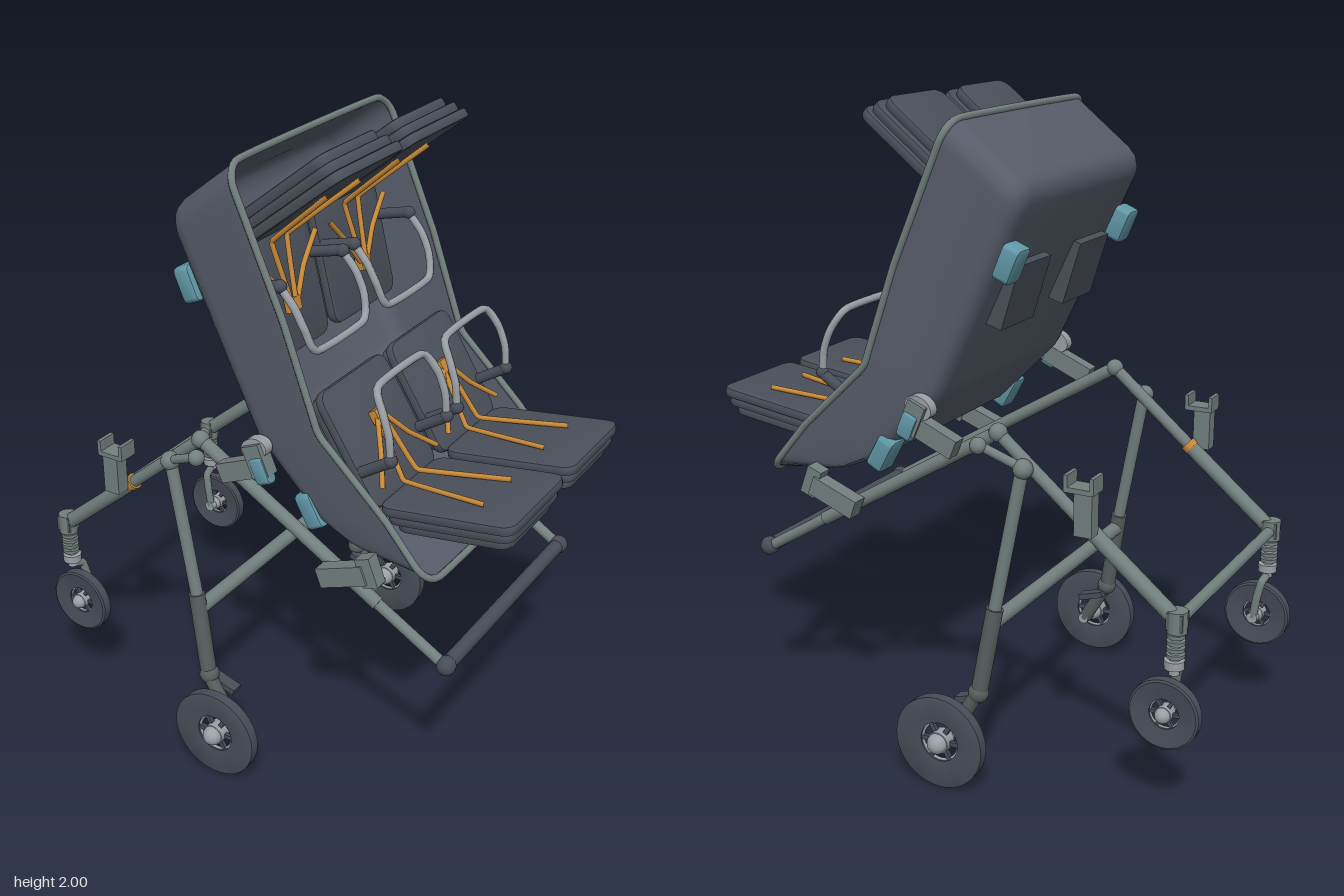
import * as THREE from 'three';
import { toCreasedNormals } from 'three/addons/utils/BufferGeometryUtils.js';

const mat = (name, color, side = THREE.FrontSide) => {
  const m = new THREE.MeshStandardMaterial({ color, side });
  m.name = name;
  return m;
};
const V = (x, y, z = 0) => new THREE.Vector3(x, y, z);

export function createModel() {
  const shell = mat('slate shell', 0x565d6a, THREE.DoubleSide);
  const fabric = mat('dark cushion', 0x4a505a);
  const frame = mat('grey green frame', 0x71807e);
  const darkFrame = mat('dark frame', 0x56605f);
  const metal = mat('light metal', 0x9aa0a6);
  const rubber = mat('rubber', 0x474d58);
  const orange = mat('orange strap', 0xc98a38);
  const teal = mat('teal lamp', 0x6299a8);
  const root = new THREE.Group();
  root.name = 'quadStroller';

  const add = (parent, name, geo, m, pos = V(0, 0, 0), rotZ = 0) => {
    const mesh = new THREE.Mesh(geo, m);
    mesh.name = name;
    mesh.position.copy(pos);
    mesh.rotation.z = rotZ;
    parent.add(mesh);
    return mesh;
  };
  // round bar between two points
  const bar = (parent, name, a, b, r, m, r2 = r) => {
    const d = b.clone().sub(a);
    const mesh = add(parent, name, new THREE.CylinderGeometry(r2, r, d.length(), 16), m, a.clone().add(b).multiplyScalar(0.5));
    mesh.quaternion.setFromUnitVectors(V(0, 1, 0), d.normalize());
    return mesh;
  };
  const box = (parent, name, w, h, d, m, pos, rot = 0) => add(parent, name, new THREE.BoxGeometry(w, h, d), m, pos, rot);
  const ball = (parent, name, r, m, pos) => add(parent, name, new THREE.SphereGeometry(r, 16, 12), m, pos);

  // ---- Tub: rings lofted from the open rim to the floor ----
  const knots = [0, 0.347, 0.599, 0.832, 1];
  const rimPts = [[-0.05, 1.955], [0.13, 1.54], [0.24, 1.23], [0.46, 1.02], [0.6, 0.852]];
  const floorPts = [[-0.29, 1.79], [-0.10, 1.38], [0.01, 1.15], [0.21, 0.945], [0.38, 0.875]];
  const along = (pts, s) => {
    let i = 0;
    while (i < 3 && s > knots[i + 1]) i++;
    const t = (s - knots[i]) / (knots[i + 1] - knots[i]);
    return V(pts[i][0] + (pts[i + 1][0] - pts[i][0]) * t, pts[i][1] + (pts[i + 1][1] - pts[i][1]) * t);
  };
  // one half of a rounded rectangle in (s, z), from the top end to the bottom end
  const half = (inset, r) => {
    const out = [], w = 0.43 - inset, rs = r / 1.3, s0 = inset / 1.3, s1 = 1 - s0;
    for (let k = 0; k <= 6; k++) {
      const a = (k / 6) * Math.PI / 2;
      out.push([s0 + rs * (1 - Math.cos(a)), w - r + r * Math.sin(a)]);
    }
    for (let k = 1; k < 40; k++) out.push([s0 + rs + (s1 - s0 - 2 * rs) * k / 40, w]);
    for (let k = 0; k <= 6; k++) {
      const a = (k / 6) * Math.PI / 2;
      out.push([s1 - rs * (1 - Math.sin(a)), w - r + r * Math.cos(a)]);
    }
    return out;
  };
  const ring = (depth, inset, r) => {
    const h = half(inset, r);
    const loop = [...h, ...h.map(([s, z]) => [s, -z]).reverse()];
    return loop.map(([s, z]) => {
      const p = along(rimPts, s).lerp(along(floorPts, s), depth);
      p.z = z;
      return p;
    });
  };
  const rings = [ring(0, 0, 0.07), ring(0.8, 0.012, 0.07), ring(0.9, 0.018, 0.07), ring(0.97, 0.035, 0.06), ring(1, 0.065, 0.05)];
  const n = rings[0].length, idx = [];
  for (let k = 0; k < rings.length - 1; k++)
    for (let i = 0; i < n; i++) {
      const a = k * n + i, b = k * n + (i + 1) % n;
      idx.push(a, b, a + n, b, b + n, a + n);
    }
  const base = (rings.length - 1) * n;
  for (let i = 0; i < n / 2 - 1; i++) {
    const a = base + i, b = a + 1, c = base + n - 1 - i, d = c - 1;
    idx.push(a, b, c, b, d, c);
  }
  const tub = new THREE.BufferGeometry().setFromPoints(rings.flat());
  tub.setIndex(idx);
  add(root, 'tub', toCreasedNormals(tub, 0.6), shell);
  const rimCurve = new THREE.CatmullRomCurve3(rings[0], true);
  add(root, 'tubRim', new THREE.TubeGeometry(rimCurve, 220, 0.011, 8, true), frame);

  // ---- Seats: local x points out of the tub, local y along it ----
  const slab = (L, W, t, r) => {
    const s = new THREE.Shape(), w = W / 2;
    s.moveTo(r, -w).lineTo(L - r, -w).quadraticCurveTo(L, -w, L, -w + r);
    s.lineTo(L, w - r).quadraticCurveTo(L, w, L - r, w);
    s.lineTo(r, w).quadraticCurveTo(0, w, 0, w - r);
    s.lineTo(0, -w + r).quadraticCurveTo(0, -w, r, -w);
    const b = 0.008;
    const g = new THREE.ExtrudeGeometry(s, { depth: t - 2 * b, bevelThickness: b, bevelSize: b, bevelOffset: -b, bevelSegments: 2, curveSegments: 6 });
    return toCreasedNormals(g.translate(0, 0, b), 0.7);
  };
  const cushion = (parent, name, a, b) => {
    const dir = b.clone().sub(a), L = dir.length(), z = V(0, 0, 1);
    dir.normalize();
    const normal = dir.clone().cross(z);
    [0, 0.012, 0.03].forEach((inset, k) => {
      const g = slab(L - 2 * inset, 0.36 - 2 * inset, 0.031, 0.045);
      g.applyMatrix4(new THREE.Matrix4().makeBasis(dir, z, normal));
      add(parent, name + 'Layer', g, fabric, a.clone().addScaledVector(dir, inset).addScaledVector(normal, k * 0.03));
    });
  };
  const tube = (parent, name, pts, r, m, tension = 0.15) =>
    add(parent, name, new THREE.TubeGeometry(new THREE.CatmullRomCurve3(pts, false, 'catmullrom', tension), 40, r, 8), m);

  const seat = (name, x, y, z, flip) => {
    const g = new THREE.Group();
    g.name = name;
    g.position.set(x, y, z);
    g.rotation.z = 0.401;
    g.scale.y = flip;
    root.add(g);
    cushion(g, 'backrest', V(0.02, -0.21), V(0.425, -0.32));
    cushion(g, 'seatPad', V(-0.04, 0.14), V(0.02, -0.225));
    box(g, 'seatSupport', 0.09, 0.2, 0.2, fabric, V(-0.14, -0.03), 0.1);
    // harness
    box(g, 'buckle', 0.025, 0.04, 0.05, orange, V(0.0, 0, 0), 0.16);
    for (const s of [-1, 1]) {
      tube(g, 'shoulderStrap', [V(0.005, 0, s * 0.01), V(0.035, -0.195, s * 0.04), V(0.304, -0.28, s * 0.085)], 0.008, orange, 0.05);
      tube(g, 'hipStrap', [V(0.005, 0, s * 0.015), V(0.022, -0.09, s * 0.08), V(0.045, -0.17, s * 0.16)], 0.008, orange);
      bar(g, 'bumperGrip', V(0, -0.108, s * 0.165), V(0.109, -0.09, s * 0.165), 0.017, rubber);
      ball(g, 'bumperPivot', 0.02, rubber, V(0.109, -0.088, s * 0.165));
    }
    const side = [[0.109, -0.085, 0.165], [0.13, -0.02, 0.165], [0.134, 0.05, 0.16], [0.124, 0.12, 0.125]];
    tube(g, 'bumperBar', [...side.map((p) => V(...p)), ...side.reverse().map(([a, b, c]) => V(a, b, -c))], 0.012, metal, 0.3);
  };
  for (const z of [-0.198, 0.198]) {
    seat('lowerSeat', 0.3, 1.21, z, 1);
    seat('upperSeat', 0.01, 1.49, z, -1);
  }

  // ---- Wheels ----
  const wheel = (name, r, width, pos) => {
    const g = new THREE.Group();
    g.name = name;
    g.position.copy(pos);
    root.add(g);
    const w = width / 2, ri = r * 0.43;
    const prof = [[ri, -w * 0.5], [r * 0.94, -w], [r, -w * 0.8], [r, w * 0.8], [r * 0.94, w], [ri, w * 0.5], [ri, -w * 0.5]];
    const tyre = new THREE.LatheGeometry(prof.map(([a, b]) => new THREE.Vector2(a, b)), 40).rotateX(Math.PI / 2);
    add(g, 'tyre', toCreasedNormals(tyre, 0.6), rubber);
    add(g, 'hubRing', new THREE.TorusGeometry(r * 0.42, r * 0.035, 8, 32), metal);
    for (let k = 0; k < 3; k++) box(g, 'spokes', r * 0.84, r * 0.1, width * 0.3, rubber, V(0, 0, 0), k * Math.PI / 3);
    add(g, 'hub', new THREE.CylinderGeometry(r * 0.24, r * 0.24, width, 20).rotateX(Math.PI / 2), metal);
    ball(g, 'hubCap', r * 0.22, metal, V(0, 0, w));
    ball(g, 'hubCap', r * 0.22, metal, V(0, 0, -w));
  };

  // ---- Frame, one side at a time ----
  for (const s of [1, -1]) {
    const P = (x, y, z) => V(x, y, z * s);
    // long handle bar and its lower tube
    bar(root, 'handleTube', P(-0.19, 1.085, 0.4), P(0.42, 0.715, 0.395), 0.021, frame);
    bar(root, 'handleEnd', P(0.42, 0.715, 0.395), P(0.64, 0.58, 0.39), 0.017, frame);
    ball(root, 'handleCorner', 0.03, rubber, P(0.645, 0.58, 0.39));
    // front tube
    ball(root, 'elbow', 0.028, frame, P(-0.19, 1.085, 0.4));
    bar(root, 'frontTubeUpper', P(-0.19, 1.085, 0.4), P(-0.46, 0.86, 0.397), 0.019, frame);
    bar(root, 'frontTubeLower', P(-0.46, 0.86, 0.397), P(-0.74, 0.63, 0.395), 0.024, frame);
    bar(root, 'tubeClip', P(-0.455, 0.865, 0.397), P(-0.47, 0.852, 0.397), 0.026, orange);
    // rear leg
    ball(root, 'legPivot', 0.03, frame, P(-0.285, 1.0, 0.43));
    bar(root, 'rearLegUpper', P(-0.285, 1.01, 0.43), P(-0.2, 0.56, 0.44), 0.02, frame);
    bar(root, 'rearLegLower', P(-0.2, 0.56, 0.44), P(-0.155, 0.29, 0.455), 0.026, darkFrame);
    bar(root, 'legBrace', P(-0.29, 1.0, 0.43), P(-0.16, 1.06, 0.46), 0.014, frame);
    ball(root, 'legBraceKnob', 0.025, frame, P(-0.16, 1.06, 0.465));
    // rear axle and brake
    ball(root, 'legFoot', 0.032, darkFrame, P(-0.152, 0.285, 0.455));
    bar(root, 'swingArm', P(-0.152, 0.285, 0.46), P(-0.07, 0.145, 0.46), 0.022, darkFrame);
    bar(root, 'rearAxle', P(-0.07, 0.145, 0.44), P(-0.07, 0.145, 0.54), 0.018, metal);
    box(root, 'brakeLever', 0.09, 0.02, 0.04, rubber, P(-0.11, 0.25, 0.43), -0.3);
    wheel('rearWheel', 0.145, 0.04, P(-0.07, 0.145, 0.54));
    // front caster with spring
    bar(root, 'casterHead', P(-0.75, 0.655, 0.395), P(-0.75, 0.59, 0.395), 0.03, frame);
    box(root, 'casterCap', 0.05, 0.05, 0.05, darkFrame, P(-0.75, 0.625, 0.395));
    bar(root, 'casterPost', P(-0.748, 0.6, 0.395), P(-0.745, 0.46, 0.395), 0.016, metal);
    for (let k = 0; k < 4; k++) {
      const y = 0.585 - k * 0.02;
      bar(root, 'springCoil', P(-0.748, y, 0.395), P(-0.748, y - 0.011, 0.395), 0.027, frame);
    }
    bar(root, 'casterCollar', P(-0.745, 0.505, 0.395), P(-0.745, 0.48, 0.395), 0.03, metal);
    tube(root, 'casterFork', [P(-0.745, 0.465, 0.395), P(-0.74, 0.45, 0.355), P(-0.73, 0.4, 0.347), P(-0.72, 0.33, 0.347)], 0.014, frame);
    bar(root, 'casterAxle', P(-0.72, 0.33, 0.335), P(-0.72, 0.33, 0.39), 0.018, metal);
    wheel('frontWheel', 0.107, 0.036, P(-0.72, 0.33, 0.39));
    // upright cup bracket on the front tube
    box(root, 'cupStem', 0.055, 0.13, 0.045, frame, P(-0.49, 0.91, 0.445));
    box(root, 'cupBase', 0.09, 0.015, 0.065, frame, P(-0.48, 0.98, 0.445));
    for (const e of [-1, 1]) box(root, 'cupWall', 0.012, 0.045, 0.065, frame, P(-0.48 + e * 0.04, 1.0, 0.445));
    // tub mounts
    box(root, 'upperMount', 0.17, 0.06, 0.045, frame, P(0.0, 1.065, 0.445), 0.4);
    box(root, 'upperMountPost', 0.06, 0.1, 0.045, frame, P(0.055, 1.11, 0.452), 0.4);
    const lug = add(root, 'mountLug', new THREE.CylinderGeometry(0.045, 0.045, 0.035, 24).rotateX(Math.PI / 2), metal, P(0.04, 1.14, 0.442), 0.4);
    lug.scale.y = 0.75;
    box(root, 'lowerMount', 0.16, 0.06, 0.05, frame, P(0.34, 0.82, 0.45), 0.36);
    box(root, 'lowerMountPost', 0.05, 0.09, 0.045, frame, P(0.42, 0.855, 0.445), 0.36);
    // teal lamps and catches
    const lamp = (name, pos, w, h, d, rot) => {
      const g = slab(h, d, w, 0.02).translate(-h / 2, 0, -w / 2);
      g.applyMatrix4(new THREE.Matrix4().makeBasis(V(0, 1, 0), V(0, 0, 1), V(1, 0, 0)));
      add(root, name, g, teal, pos, rot);
    };
    lamp('sideCatch', P(0.07, 1.085, 0.46), 0.05, 0.09, 0.04, 0.4);
    lamp('upperLamp', P(-0.215, 1.57, 0.37), 0.055, 0.11, 0.08, 0.4);
    lamp('lowerLamp', P(0.2, 0.965, 0.385), 0.055, 0.115, 0.08, 0.5);
  }
  // cross bars
  bar(root, 'handleGrip', V(0.645, 0.58, -0.39), V(0.645, 0.58, 0.39), 0.023, rubber);
  bar(root, 'frontCrossBar', V(-0.75, 0.62, -0.395), V(-0.75, 0.62, 0.395), 0.018, frame);
  bar(root, 'legCrossBar', V(-0.19, 0.51, -0.44), V(-0.19, 0.51, 0.44), 0.024, frame);
  return root;
}
